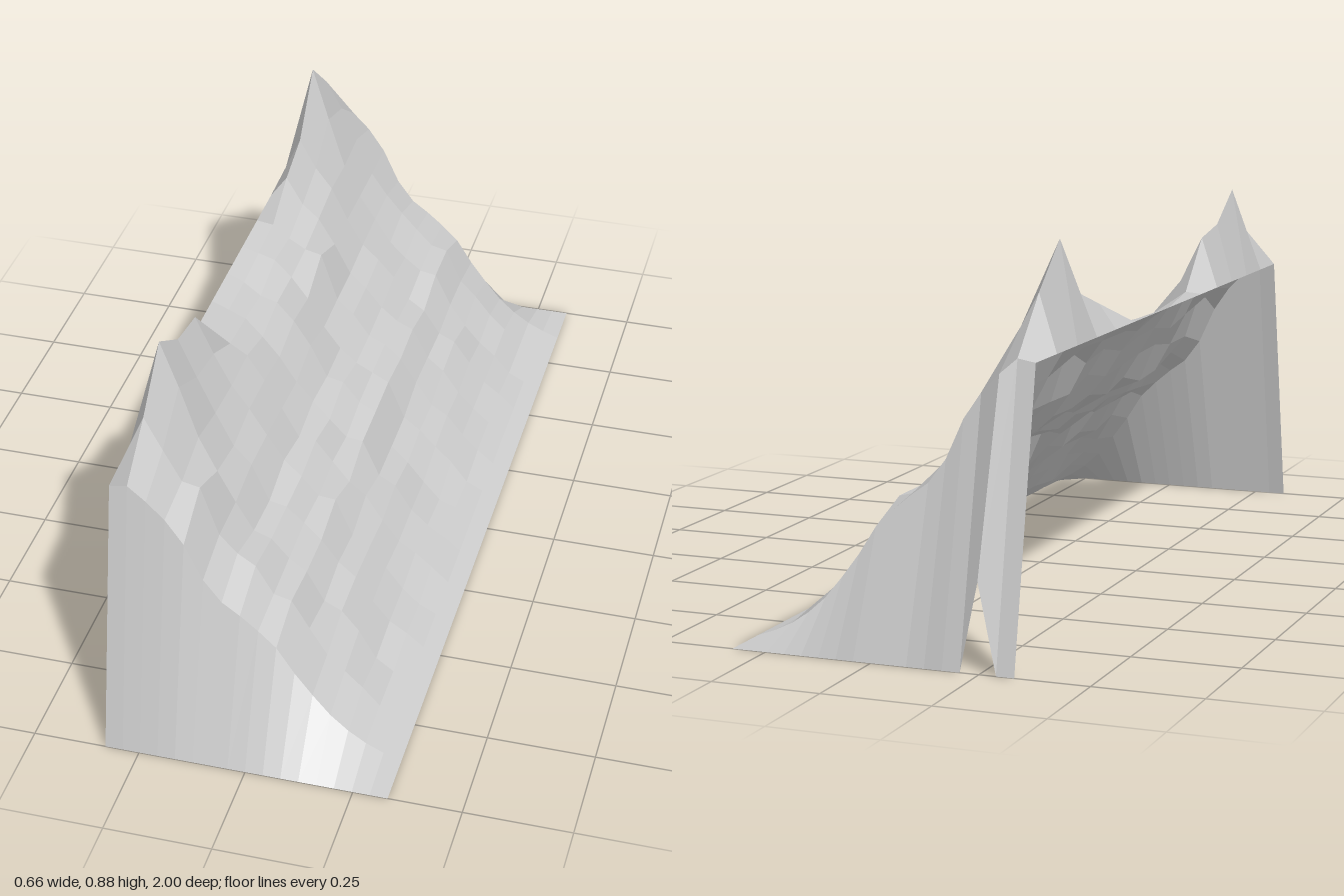
import * as THREE from 'three';

const N = 16, WIDTH = 0.66, LENGTH = 2;

// Slope profile from the high back edge (-x) to the foot (+x): end rows and middle rows
const END = [0.65, 0.657, 0.622, 0.58, 0.52, 0.43, 0.375, 0.345, 0.31, 0.27, 0.205, 0.15, 0.1, 0.063, 0.035, 0.015, 0];
const MID = [0.65, 0.635, 0.61, 0.575, 0.525, 0.455, 0.4, 0.37, 0.325, 0.295, 0.225, 0.18, 0.125, 0.08, 0.045, 0.016, 0];
// Random roughness of each column
const ROUGH = [0, 0.006, 0.016, 0.02, 0.022, 0.022, 0.022, 0.02, 0.018, 0.022, 0.018, 0.02, 0.018, 0.014, 0.01, 0.002, 0];
// Crest height above the back edge for each row, from z = -1 to z = 1
const CREST = [0, 0, 0.15, 0.245, 0.105, 0.07, 0.015, 0, 0, 0, 0.015, 0.135, 0.165, 0.232, 0.12, 0, 0];
// How far the crest reaches down the slope
const REACH = [0, 1, 0.57, 0.22, 0.06];
// Rock ledge high on the slope: heights by row along one column
const LEDGE_COLUMN = 4;
const LEDGE = { 5: 0.53, 6: 0.575, 7: 0.525, 8: 0.54, 13: 0.54, 14: 0.585 };

function seeded(seed) {
  return () => {
    seed = (seed * 16807) % 2147483647;
    return seed / 2147483647;
  };
}

// Gives both triangles of every grid cell one shared normal, so each cell is a single facet
function facetCells(geometry) {
  geometry.computeVertexNormals();
  const normal = geometry.attributes.normal;
  const a = new THREE.Vector3(), b = new THREE.Vector3();
  for (let k = 0; k < normal.count; k += 6) {
    a.fromBufferAttribute(normal, k).add(b.fromBufferAttribute(normal, k + 3)).normalize();
    for (let v = k; v < k + 6; v++) normal.setXYZ(v, a.x, a.y, a.z);
  }
}

export function createModel() {
  const group = new THREE.Group();
  group.name = 'hillside';
  const random = seeded(4217);

  // Height at column i (across the slope) and row j (along the length)
  const height = (i, j) => {
    const noise = (random() * 2 - 1) * ROUGH[i];
    if (j === 0 || j === N) return j === 0 && i === 2 ? 0.2 : 0; // end walls drop to the ground, one notch
    if (j === 1 || j === N - 1) return END[i];
    if (i === LEDGE_COLUMN && LEDGE[j]) return LEDGE[j];
    return MID[i] + CREST[j] * (REACH[i] ?? 0) + noise;
  };

  // Faceted terrain sheet, open underneath and at the back
  const plane = new THREE.PlaneGeometry(WIDTH, LENGTH, N, N);
  plane.rotateX(-Math.PI / 2);
  const pos = plane.attributes.position;
  for (let j = 0; j <= N; j++) {
    for (let i = 0; i <= N; i++) pos.setY(j * (N + 1) + i, height(i, j));
  }
  const geometry = plane.toNonIndexed();
  facetCells(geometry);

  const material = new THREE.MeshStandardMaterial({ color: 0xcccccc, side: THREE.DoubleSide });
  const slope = new THREE.Mesh(geometry, material);
  slope.name = 'rockySlope';
  group.add(slope);
  return group;
}
